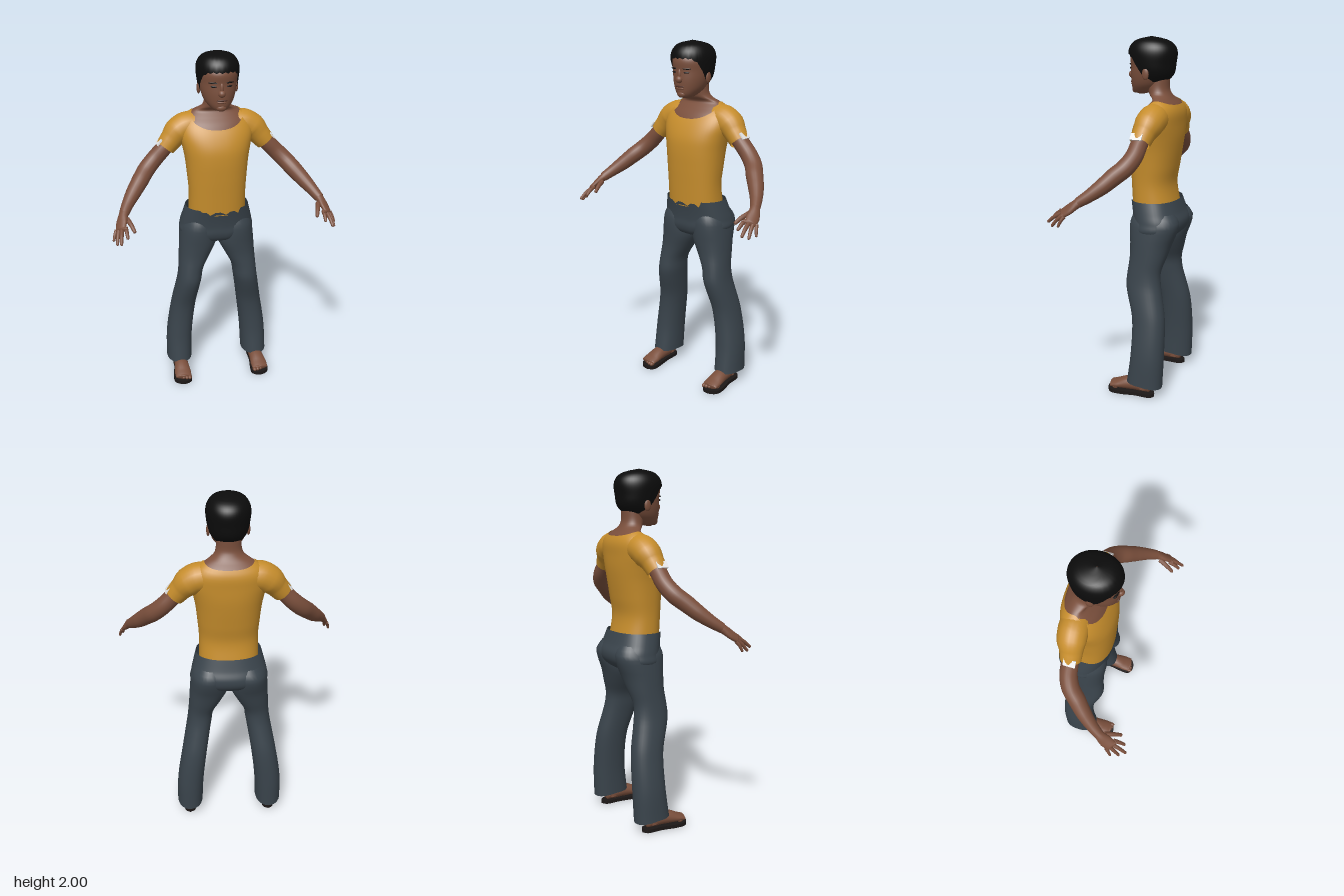
import * as THREE from 'three';

const mat = (name, color, side = THREE.DoubleSide) => {
  const m = new THREE.MeshStandardMaterial({ color, side });
  m.name = name;
  return m;
};

// Closed-ring skin through rows of points (rings run upward, front towards +x)
function skinRings(rings) {
  const n = rings[0].length, pos = [], idx = [];
  rings.forEach(r => r.forEach(p => pos.push(p.x, p.y, p.z)));
  for (let j = 0; j < rings.length - 1; j++) for (let i = 0; i < n; i++) {
    const a = j * n + i, b = j * n + (i + 1) % n;
    idx.push(a, b, a + n, b, b + n, a + n);
  }
  const g = new THREE.BufferGeometry();
  g.setAttribute('position', new THREE.Float32BufferAttribute(pos, 3));
  g.setIndex(idx);
  g.computeVertexNormals();
  return g;
}

// Smooth lookup in a profile table of rows [y, centreX, halfWidth, zFront, zBack]
function sample(t, y) {
  let i = 0;
  while (i < t.length - 2 && y > t[i + 1][0]) i++;
  const a = t[i], b = t[i + 1], h = b[0] - a[0];
  const u = THREE.MathUtils.clamp((y - a[0]) / h, 0, 1);
  const slope = (k, c) => {
    const p = t[Math.max(k - 1, 0)], q = t[Math.min(k + 1, t.length - 1)];
    return (q[c] - p[c]) / (q[0] - p[0]) * h;
  };
  return [1, 2, 3, 4].map(c =>
    a[c] * (1 + 2 * u) * (1 - u) ** 2 + slope(i, c) * u * (1 - u) ** 2 +
    b[c] * u * u * (3 - 2 * u) + slope(i + 1, c) * u * u * (u - 1));
}

// Upright body wall whose lower and upper edges may vary with the angle
function wall(t, lo, hi, power = 2, rows = 26, seg = 48) {
  const rings = [];
  for (let j = 0; j <= rows; j++) {
    const ring = [];
    for (let i = 0; i < seg; i++) {
      const a = i / seg * Math.PI * 2, c = Math.cos(a), s = Math.sin(a);
      const y = THREE.MathUtils.lerp(lo(c, i), hi(c, i), j / rows);
      const [cx, w, zf, zb] = sample(t, y);
      const e = v => Math.sign(v) * Math.abs(v) ** (2 / power);
      ring.push(new THREE.Vector3(cx + w * e(s), y, (zf + zb) / 2 + (zf - zb) / 2 * e(c)));
    }
    rings.push(ring);
  }
  return skinRings(rings);
}

// Limb along a curve through [x, y, z, radius, flatten along ref]
function limb(pts, side = 1, ref = [0, 0, 1], seg = 20) {
  const curve = new THREE.CatmullRomCurve3(pts.map(p => new THREE.Vector3(p[0] * side, p[1], p[2])));
  const R = new THREE.Vector3(ref[0] * side, ref[1], ref[2]), rows = (pts.length - 1) * 5, rings = [];
  for (let j = 0; j <= rows; j++) {
    const f = j / rows, k = Math.min(Math.floor(f * (pts.length - 1)), pts.length - 2), u = f * (pts.length - 1) - k;
    const c = curve.getPoint(f), T = curve.getTangent(f);
    const U = R.clone().addScaledVector(T, -R.dot(T)).normalize(), V = T.clone().cross(U);
    const r = THREE.MathUtils.lerp(pts[k][3], pts[k + 1][3], u);
    const flat = THREE.MathUtils.lerp(pts[k][4] ?? 1, pts[k + 1][4] ?? 1, u);
    rings.push(Array.from({ length: seg }, (_, i) => {
      const a = i / seg * Math.PI * 2;
      return c.clone().addScaledVector(U, Math.cos(a) * r * flat).addScaledVector(V, Math.sin(a) * r);
    }));
  }
  return skinRings(rings);
}

export function createModel() {
  const root = new THREE.Group();
  const skin = mat('brown skin', 0x7a4f3c), shirt = mat('ochre cotton', 0xc68d2c);
  const denim = mat('slate denim', 0x3a444c), black = mat('black hair', 0x0c0c0c);
  const sole = mat('dark sole', 0x1d1817), white = mat('white band', 0xffffff), lip = mat('dark lip', 0x4e2e25);
  const add = (name, geo, m, parent = root) => {
    const mesh = new THREE.Mesh(geo, m);
    mesh.name = name;
    parent.add(mesh);
    return mesh;
  };
  const blob = (name, m, x, y, z, sx, sy, sz, parent) => {
    const b = add(name, new THREE.SphereGeometry(1, 16, 12), m, parent);
    b.position.set(x, y, z);
    b.scale.set(sx, sy, sz);
    return b;
  };

  // Shirt body with a scooped neckline
  const torso = [
    [1.08, 0, .165, .024, -.22], [1.2, 0, .163, .03, -.2], [1.3, 0, .17, .035, -.215],
    [1.4, 0, .18, .037, -.23], [1.47, 0, .193, .03, -.238], [1.54, 0, .208, .005, -.24],
    [1.6, 0, .2, -.03, -.24], [1.64, 0, .168, -.065, -.225], [1.667, 0, .13, -.085, -.2]];
  add('shirtBody', wall(torso, () => 1.08,
    c => 1.667 - .092 * Math.max(0, c) ** 2 - .025 * Math.max(0, -c) ** 2, 2.3, 34), shirt);

  // Chest and neck inside the neckline
  const neck = torso.slice(5).map(r => [r[0], 0, r[2] - .006, r[3] - .006, r[4] + .006]);
  neck.push([1.69, 0, .082, -.062, -.178], [1.72, 0, .068, -.05, -.165], [1.78, 0, .065, -.04, -.165]);
  add('neck', wall(neck, () => 1.54, () => 1.78, 2.1), skin);

  // Head with face
  const head = new THREE.Group();
  head.name = 'head';
  root.add(head);
  add('skull', wall([
    [1.69, 0, .004, .01, -.01], [1.698, 0, .036, .034, -.05], [1.715, 0, .056, .046, -.09],
    [1.745, 0, .079, .05, -.13], [1.79, 0, .095, .053, -.16], [1.84, 0, .103, .052, -.18],
    [1.9, 0, .105, .055, -.188], [1.95, 0, .08, .02, -.15]], () => 1.69, () => 1.95), skin, head);
  blob('nose', skin, 0, 1.795, .053, .02, .02, .02, head);
  blob('noseBridge', skin, 0, 1.82, .05, .011, .032, .011, head);
  blob('upperLip', lip, 0, 1.757, .049, .03, .005, .006, head);
  blob('lowerLip', skin, 0, 1.747, .047, .026, .007, .008, head);
  blob('chin', skin, 0, 1.715, .033, .028, .02, .018, head);
  for (const s of [1, -1]) {
    blob('eye', sole, s * .043, 1.833, .044, .017, .005, .004, head).rotation.y = s * .35;
    blob('eyebrow', black, s * .046, 1.853, .044, .025, .004, .004, head).rotation.y = s * .4;
    blob('ear', skin, s * .104, 1.805, -.07, .01, .032, .02, head);
  }

  // Cap of short hair, lower at the nape and sides
  add('hair', wall([
    [1.755, 0, .074, .02, -.145], [1.8, 0, .1, .055, -.188], [1.86, 0, .113, .062, -.2],
    [1.92, 0, .116, .066, -.205], [1.96, 0, .1, .048, -.185], [1.985, 0, .068, .01, -.14],
    [2, 0, .002, -.06, -.064]],
    (c, i) => {
      const f = THREE.MathUtils.smoothstep(c, -.25, .9);
      return 1.762 + .142 * f + (c > .6 ? (i % 2) * .008 : 0);
    }, () => 2, 2.05), black, head);

  // Jeans: hip section with a ragged front waistband
  add('hips', wall([
    [.89, 0, .06, -.05, -.17], [.91, 0, .16, -.01, -.22], [.95, 0, .215, .01, -.262], [1, 0, .212, .012, -.272],
    [1.05, 0, .2, .018, -.252], [1.115, 0, .182, .03, -.23]], () => .89,
    (c, i) => 1.115 - (c > .8 ? .012 + .018 * (i % 3 === 1) : 0), 2.3), denim);

  // Hand joints reused for all fingers: [name, knuckle, tip, radius]
  const fingers = [
    ['thumb', [.538, 1.16, .135], [.505, 1.115, .225], .0125],
    ['indexFinger', [.552, 1.135, .19], [.547, 1.095, .255], .0105],
    ['middleFinger', [.572, 1.125, .19], [.585, 1.07, .272], .0105],
    ['ringFinger', [.588, 1.118, .178], [.605, 1.055, .238], .01],
    ['littleFinger', [.6, 1.115, .163], [.62, 1.06, .192], .009]];

  for (const s of [1, -1]) {
    const sideName = s > 0 ? 'left' : 'right';
    const arm = new THREE.Group(), leg = new THREE.Group();
    arm.name = sideName + 'Arm';
    leg.name = sideName + 'Leg';
    root.add(arm, leg);

    // Sleeve, white cuff patch and bare arm
    add('sleeve', limb([[.09, 1.575, -.14, .078], [.165, 1.573, -.14, .08], [.215, 1.545, -.135, .077],
      [.25, 1.508, -.127, .063], [.288, 1.463, -.12, .055]], s), shirt, arm);
    const band = add('cuffPatch', new THREE.BoxGeometry(.008, .04, .065), white, arm);
    band.position.set(s * .321, 1.502, -.115);
    band.rotation.z = s * .69;
    add('bareArm', limb([[.25, 1.508, -.125, .046], [.3, 1.455, -.12, .046], [.35, 1.403, -.115, .047],
      [.4, 1.353, -.09, .048], [.44, 1.31, -.045, .047], [.485, 1.26, .005, .042], [.525, 1.215, .06, .033],
      [.552, 1.182, .108, .027]], s), skin, arm);
    add('palm', limb([[.545, 1.19, .095, .025, 1], [.558, 1.172, .12, .022, 1.3], [.57, 1.147, .152, .018, 2],
      [.579, 1.125, .185, .014, 2.3], [.583, 1.118, .195, .001, 10]], s, [.7, -.37, -.6]), skin, arm);
    for (const [name, a, b, r] of fingers) {
      const mid = a.map((v, i) => (v + b[i]) / 2 + (i === 1 ? .006 : 0));
      const near = b.map((v, i) => v + (mid[i] - v) * .12);
      add(name, limb([[...a, r * 1.15], [...mid, r], [...near, r * .75], [...b, .001]], s, [1, 0, 0], 10), skin, arm);
    }

    // Trouser leg, listed from the hem up
    add('trouserLeg', wall([
      [.065, .24, .076, -.022, -.232], [.25, .232, .077, -.045, -.237], [.45, .205, .073, -.042, -.23],
      [.6, .179, .071, 0, -.2], [.65, .17, .071, .01, -.19], [.72, .16, .073, .005, -.187],
      [.8, .136, .091, 0, -.21], [.88, .114, .108, .005, -.234], [.94, .11, .107, .01, -.258],
      [1, .108, .1, .008, -.27], [1.05, .1, .08, -.01, -.24]].map(r => [r[0], r[1] * s, ...r.slice(2)]),
      c => .08 - .018 * Math.max(0, -c), () => 1.05, 2.2, 40, 32), denim, leg);

    // Foot with toes
    add('ankle', limb([[.238, .04, -.12, .036], [.238, .1, -.125, .036], [.236, .22, -.135, .045]], s), skin, leg);
    add('foot', limb([[.238, .05, -.172, .002], [.238, .05, -.16, .028], [.238, .06, -.1, .038, 1.05],
      [.24, .058, -.03, .043, .9], [.242, .046, .03, .05, .5], [.242, .038, .07, .048, .32],
      [.242, .035, .08, .002]], s, [0, 1, 0]), skin, leg);
    for (let i = 0; i < 5; i++)
      blob('toe', skin, s * (.206 + i * .0185), .034, .076 - i * i * .0022, .0125 - i * .0008, .012, .018, leg);

    // Flat sandal sole
    const outline = new THREE.Shape(new THREE.SplineCurve([
      [.243, .19], [.21, .165], [.207, .08], [.192, -.02], [.192, -.07], [.225, -.095],
      [.265, -.09], [.295, -.06], [.295, 0], [.278, .08], [.273, .165], [.243, .19]
    ].map(p => new THREE.Vector2(p[0] * s, p[1]))).getPoints(48));
    add('sandalSole', new THREE.ExtrudeGeometry(outline, { depth: .02, bevelEnabled: false }).rotateX(-Math.PI / 2),
      sole, leg);
  }
  return root;
}
